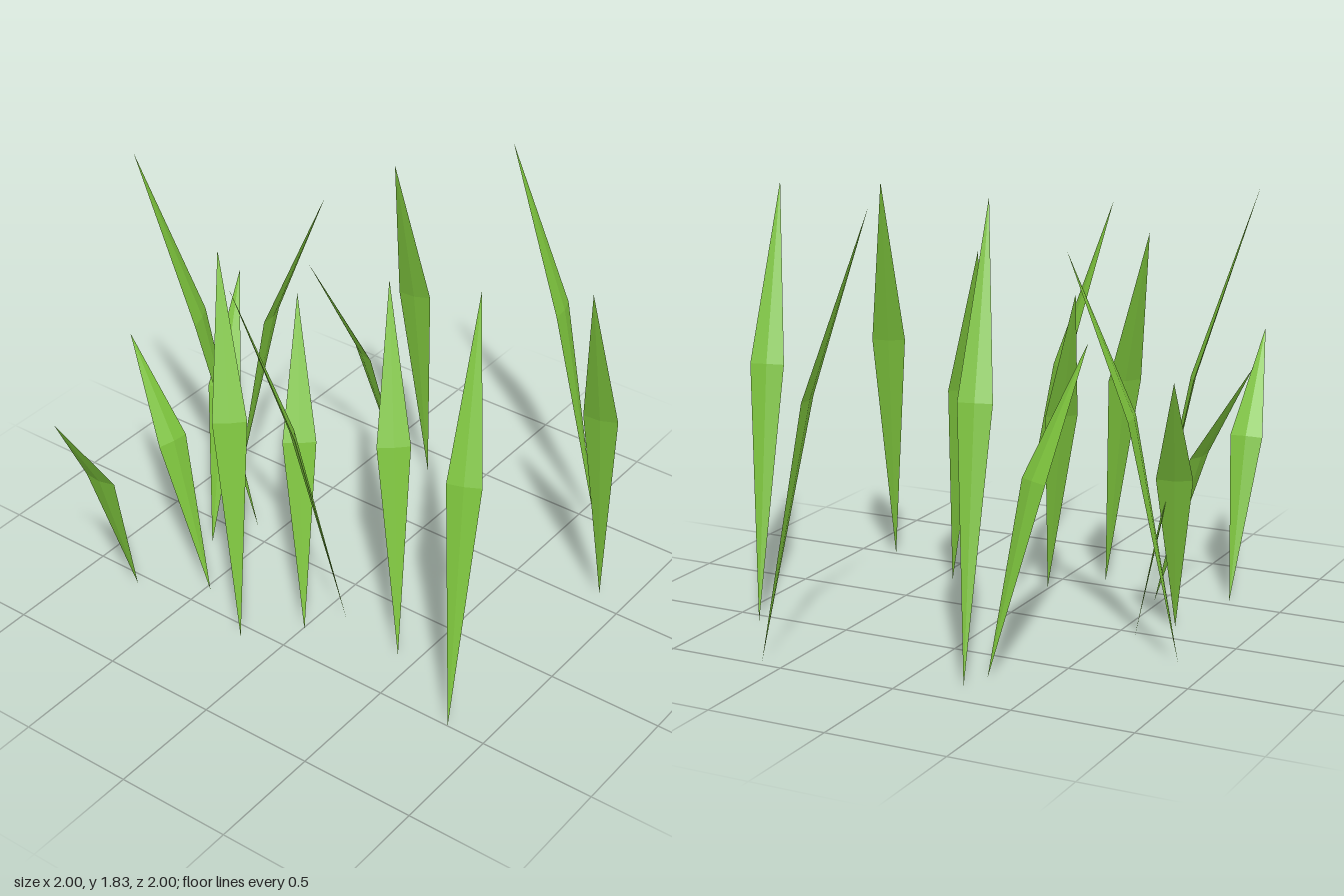
import * as THREE from 'three';

const HALF_THICKNESS = 0.01;

// Each blade: base [x, z], tip [x, y, z], height of the bend, and its two side corners [x, z]
const BLADES = [
  { base: [-0.55, -0.755], tip: [-1.0, 1.09, -0.72], bend: 0.67, sides: [[-0.75, -0.81], [-0.74, -0.67]] },
  { base: [-0.40, -0.475], tip: [-0.31, 1.08, -0.93], bend: 0.67, sides: [[-0.43, -0.695], [-0.29, -0.67]] },
  { base: [0.07, -0.59], tip: [-0.15, 1.83, -1.0], bend: 1.08, sides: [[-0.11, -0.75], [0.03, -0.81]] },
  { base: [-0.14, -0.68], tip: [0.30, 1.13, -0.84], bend: 0.68, sides: [[0.04, -0.82], [0.085, -0.68]] },
  { base: [0.25, -0.855], tip: [0.335, 1.61, -0.405], bend: 0.97, sides: [[0.22, -0.65], [0.355, -0.675]] },
  { base: [0.74, -0.27], tip: [0.34, 1.26, -0.50], bend: 0.75, sides: [[0.59, -0.44], [0.525, -0.31]] },
  { base: [0.87, -0.235], tip: [0.425, 1.81, -0.12], bend: 1.06, sides: [[0.65, -0.25], [0.685, -0.115]] },
  { base: [0.975, 0.60], tip: [0.875, 1.81, 0.15], bend: 1.07, sides: [[0.86, 0.41], [1.0, 0.38]] },
  { base: [0.575, 0.87], tip: [0.13, 1.76, 1.0], bend: 1.04, sides: [[0.355, 0.86], [0.39, 1.0]] },
  { base: [-0.50, 0.83], tip: [-0.08, 1.75, 0.645], bend: 1.03, sides: [[-0.335, 0.68], [-0.28, 0.81]] },
  { base: [-0.27, 0.42], tip: [0.075, 1.53, 0.11], bend: 0.9, sides: [[-0.155, 0.22], [-0.065, 0.325]] },
  { base: [-0.37, 0.01], tip: [-0.015, 1.37, -0.28], bend: 0.81, sides: [[-0.255, -0.18], [-0.165, -0.075]] },
  { base: [-0.565, -0.175], tip: [-0.24, 1.60, -0.50], bend: 0.94, sides: [[-0.46, -0.375], [-0.365, -0.27]] },
  { base: [-0.205, 0.105], tip: [-0.52, 1.67, -0.215], bend: 0.98, sides: [[-0.305, -0.105], [-0.40, 0.0]] },
];

// A slim, bent blade: a flat diamond cross-section at the bend, drawn to a point at both ends
function bladeGeometry({ base, tip, bend, sides }) {
  const root = new THREE.Vector3(base[0], 0, base[1]);
  const top = new THREE.Vector3(...tip);
  const [a, b] = sides.map(([x, z]) => new THREE.Vector3(x, bend, z));
  const centre = a.clone().lerp(b, 0.5);
  const normal = b.clone().sub(a).cross(top.clone().sub(root)).setLength(HALF_THICKNESS);
  const ring = [a, centre.clone().add(normal), b, centre.clone().sub(normal)];

  const corners = [];
  ring.forEach((p, i) => {
    const next = ring[(i + 1) % ring.length];
    corners.push(p, next, top, next, p, root);
  });
  const geometry = new THREE.BufferGeometry().setFromPoints(corners);
  geometry.computeVertexNormals();
  return geometry;
}

export function createModel() {
  const grassGreen = new THREE.MeshStandardMaterial({ color: 0x7cc23c, flatShading: true });
  grassGreen.name = 'grass green';

  const group = new THREE.Group();
  group.name = 'grassTuft';
  BLADES.forEach((blade, i) => {
    const mesh = new THREE.Mesh(bladeGeometry(blade), grassGreen);
    mesh.name = `grassBlade${i + 1}`;
    group.add(mesh);
  });
  return group;
}
